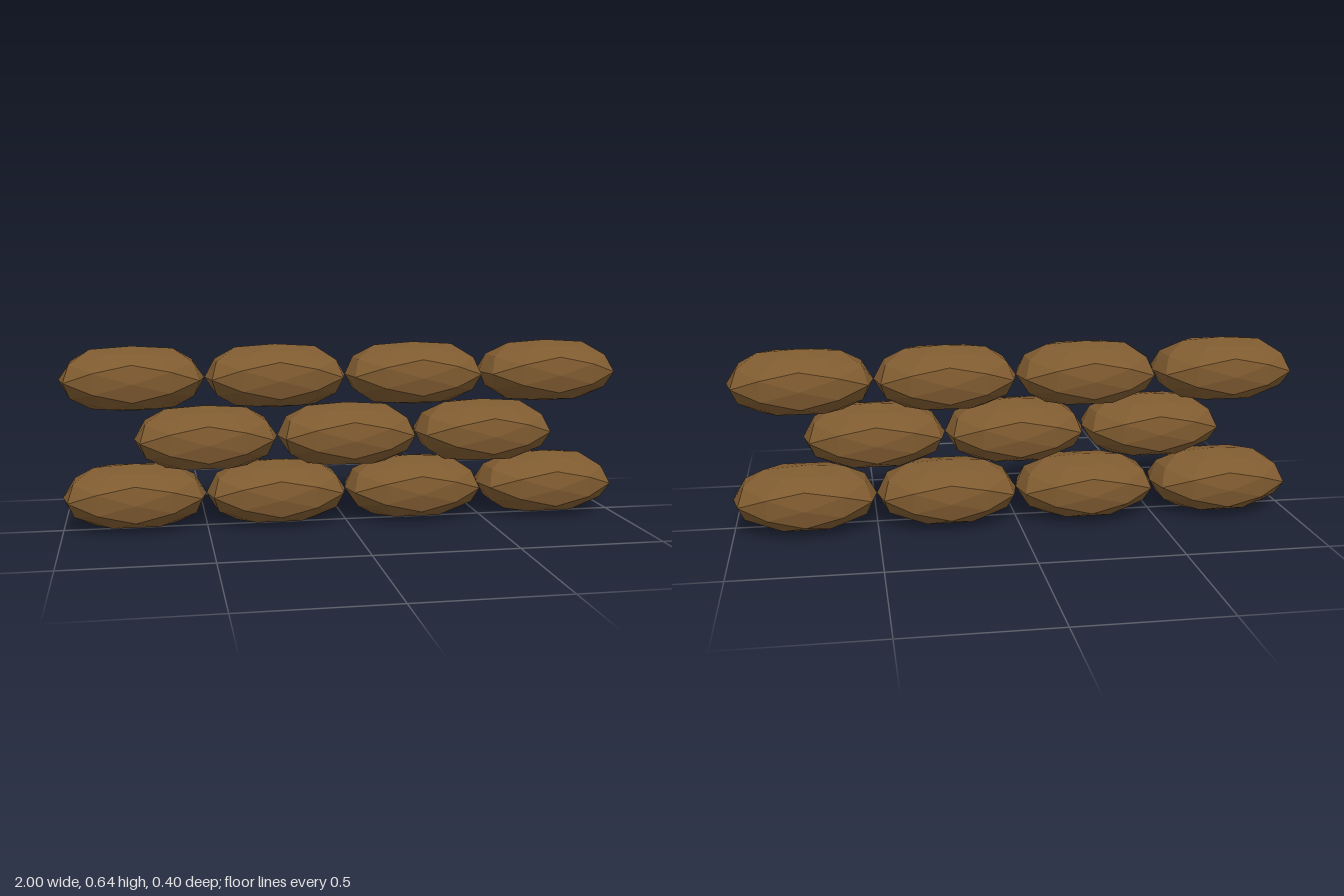
import * as THREE from 'three';

// One stuffed bag: a faceted ellipsoid with its main corners pushed out a little
function bagGeometry() {
  const geo = new THREE.IcosahedronGeometry(1, 1);
  const pos = geo.attributes.position;
  const v = new THREE.Vector3();
  for (let i = 0; i < pos.count; i++) {
    v.fromBufferAttribute(pos, i);
    const a = [Math.abs(v.x), Math.abs(v.y), Math.abs(v.z)].sort((p, q) => p - q);
    const isTip = a[2] > 0.99;
    const isCorner = !isTip && a[0] < 0.01;
    v.multiplyScalar(isTip ? 1 : isCorner ? 1.08 : 1.04);
    pos.setXYZ(i, v.x * 0.25, v.y * 0.113, v.z * 0.18);
  }
  geo.computeVertexNormals();
  return geo;
}

export function createModel() {
  const group = new THREE.Group();
  group.name = 'sandbagWall';
  const burlap = new THREE.MeshStandardMaterial({ color: 0x7f5b30, flatShading: true });
  burlap.name = 'brown burlap';
  const geo = bagGeometry();

  // Three staggered courses, the middle one shorter and further forward
  const courses = [
    { name: 'bottomRow', count: 4, y: 0.115, z: -0.02 },
    { name: 'middleRow', count: 3, y: 0.322, z: 0.02 },
    { name: 'topRow', count: 4, y: 0.53, z: -0.02 },
  ];
  for (const { name, count, y, z } of courses) {
    const row = new THREE.Group();
    row.name = name;
    for (let i = 0; i < count; i++) {
      const bag = new THREE.Mesh(geo, burlap);
      bag.name = 'sandbag';
      bag.position.set((i - (count - 1) / 2) * 0.5, y, z);
      row.add(bag);
    }
    group.add(row);
  }
  return group;
}
